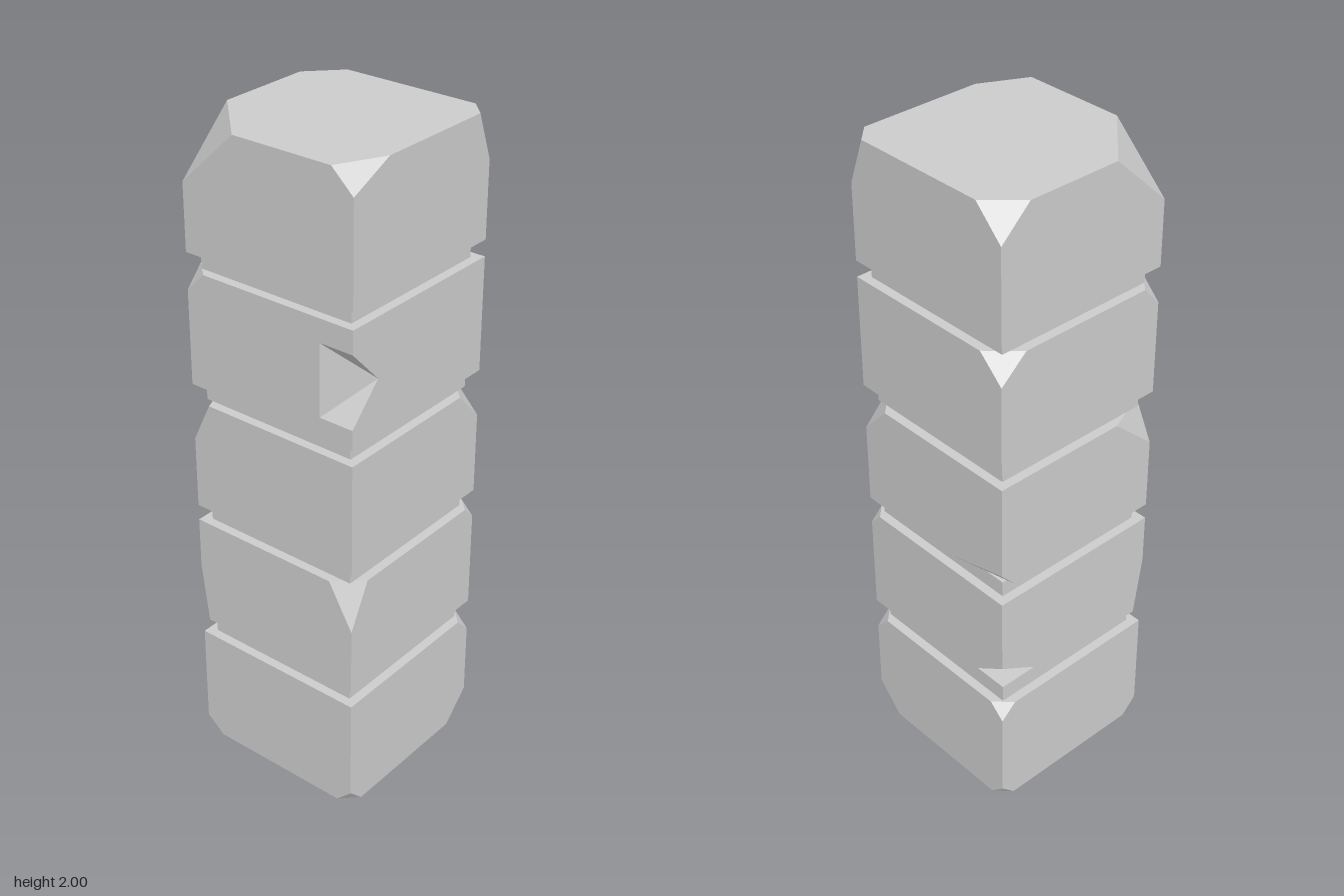
import * as THREE from 'three';
import { ConvexGeometry } from 'three/addons/geometries/ConvexGeometry.js';

const H = 0.285; // half width of a block
const NECK = 0.257; // half width of a joint
const material = new THREE.MeshStandardMaterial({ color: 0xcccccc, flatShading: true });
const v = (x, y, z) => new THREE.Vector3(x, y, z);

// Corner keys: x sign, y sign, z sign. Values: cut lengths along x, y, z.
const blocks = [
  { y0: 0, y1: 0.375, chips: {
    '+-+': [0.09, 0.09, 0.085], '--+': [0.05, 0.05, 0.05], '+--': [0.045, 0.045, 0.045],
    '---': [0.05, 0.05, 0.06], '+++': [0.05, 0.05, 0.05], '++-': [0.05, 0.045, 0.05] } },
  { y0: 0.43, y1: 0.78, chips: {
    '-++': [0.07, 0.14, 0.08], '+++': [0.04, 0.04, 0.04],
    '+--': [0.19, 0.11, 0.165], '---': [0.03, 0.19, 0.025] } },
  { y0: 0.83, y1: 1.18, chips: {
    '+++': [0.09, 0.095, 0.09], '+--': [0.05, 0.055, 0.22], '-+-': [0.14, 0.125, 0.06] } },
  { y0: 1.23, y1: 1.58, notch: { low: 1.29, mid: 1.4, high: 1.51, depth: 0.105, zCut: 0.11 },
    chips: { '++-': [0.085, 0.075, 0.08], '-+-': [0.055, 0.06, 0.06] } },
  { y0: 1.63, y1: 2, chips: {
    '-++': [0.14, 0.065, 0.07], '+++': [0.052, 0.14, 0.052],
    '++-': [0.095, 0.09, 0.09], '-+-': [0.18, 0.17, 0.18] } },
];

// Points of the upper (s = 1) or lower (s = -1) face, chipped corners becoming three points
function facePoints(s, y, chips) {
  const points = [];
  for (const sx of [-1, 1]) for (const sz of [-1, 1]) {
    const key = [sx, s, sz].map((n) => (n > 0 ? '+' : '-')).join('');
    const x = sx * H, z = sz * H;
    const cut = chips[key];
    if (!cut) { points.push(v(x, y, z)); continue; }
    points.push(v(x - sx * cut[0], y, z), v(x, y - s * cut[1], z), v(x, y, z - sz * cut[2]));
  }
  return points;
}

function addHull(group, points, name) {
  const mesh = new THREE.Mesh(new ConvexGeometry(points), material);
  mesh.name = name;
  group.add(mesh);
}

// The same x, y outline points on both the back and front planes
const frontAndBack = (list) => list.flatMap(([x, y]) => [v(x, y, -H), v(x, y, H)]);

function makeBlock({ y0, y1, chips, notch }) {
  const group = new THREE.Group();
  const bottom = facePoints(-1, y0, chips);
  const top = facePoints(1, y1, chips);
  if (!notch) {
    addHull(group, [...bottom, ...top], 'chippedBlock');
    return group;
  }
  // Pyramid-shaped notch in one upright edge: convex halves plus the core behind the notch
  const { low, mid, high, depth, zCut } = notch;
  const middle = [[H, mid], [-H + depth, mid]];
  addHull(group, [...bottom, ...frontAndBack([...middle, [-H, low]])], 'lowerHalf');
  addHull(group, [...top, ...frontAndBack([...middle, [-H, high]])], 'upperHalf');
  addHull(group, [
    v(-H, low, -H), v(-H, high, -H), v(-H + depth, mid, -H),
    v(-H, low, H - zCut), v(-H, high, H - zCut), v(-H + depth, mid, H),
  ], 'notchCore');
  return group;
}

export function createModel() {
  const model = new THREE.Group();
  model.name = 'stonePillar';
  blocks.forEach((block, i) => {
    const stone = makeBlock(block);
    stone.name = `stoneBlock${i + 1}`;
    model.add(stone);

    // Recessed joint up to the next block
    const next = blocks[i + 1];
    if (!next) return;
    const height = next.y0 - block.y1;
    const joint = new THREE.Mesh(new THREE.BoxGeometry(2 * NECK, height + 0.04, 2 * NECK), material);
    joint.position.y = block.y1 + height / 2;
    joint.name = `joint${i + 1}`;
    // Keep the joint's ends just inside the blocks, clear of the chipped corners
    joint.scale.y = height / (height + 0.04);
    model.add(joint);
  });
  return model;
}
